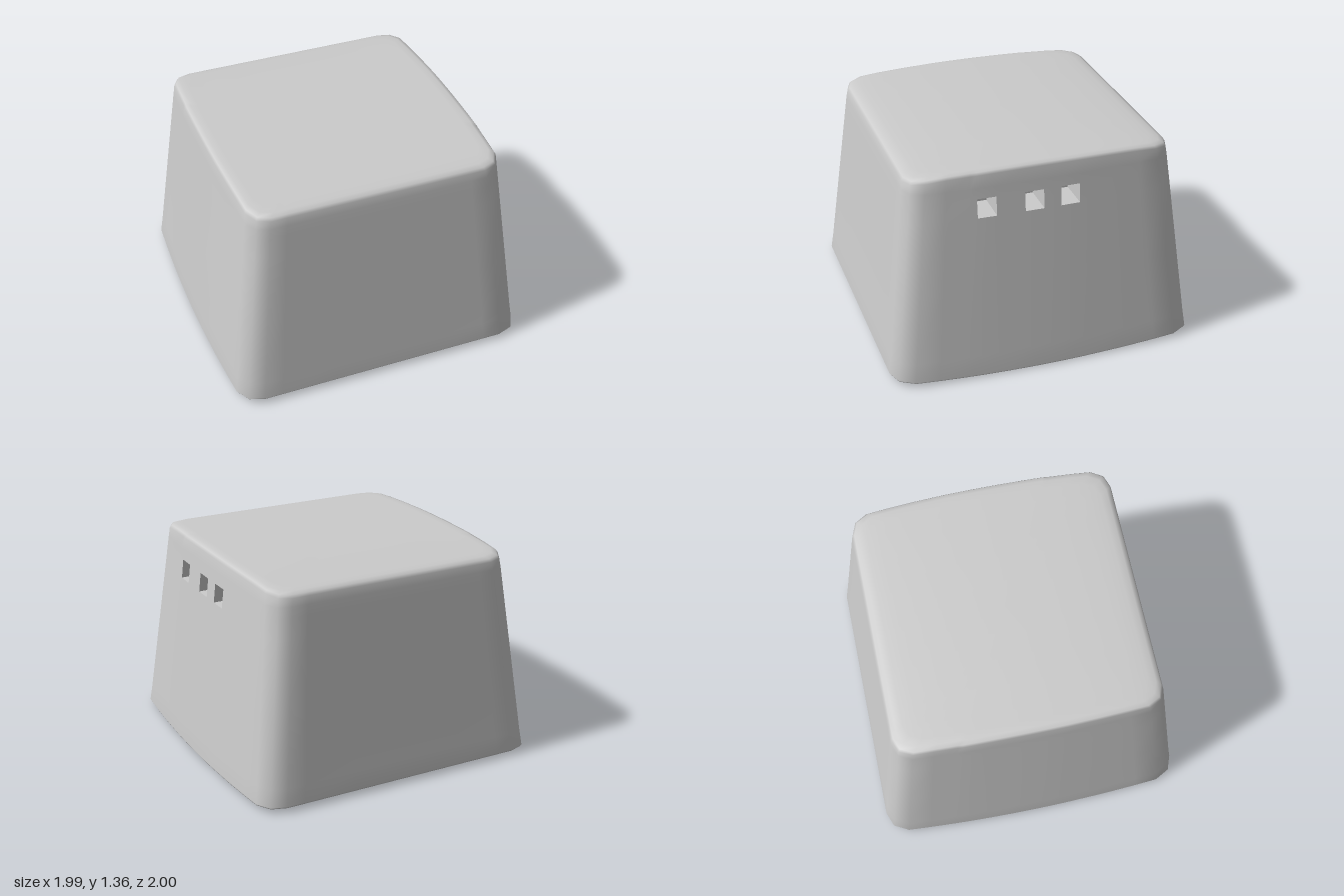
import * as THREE from 'three';

const TOP_SCALE = 0.845;
const HOLES = [[-0.22, -0.1], [0.01, 0.13], [0.31, 0.43]]; // z ranges on the left wall
const HOLE_LOW = 1.062, HOLE_HIGH = 1.184, HOLE_DEPTH = 0.2;

// gently bowed side wall at the base, and its taper with height
const bow = z => 0.995 - 0.03 * (z / 0.87) ** 2;
const taper = y => 1 - (1 - TOP_SCALE) * (y - 0.02) / 1.3;

// crowned top and base, both curving along z only
const topY = z => { const r = z / TOP_SCALE; return 1.36 - 0.02 * r ** 2 - 0.015 * r ** 10; };
const baseY = z => 0.025 * z ** 2;

// plan outline: half loop, then the same half turned by 180 degrees
const sideZ = [-0.87, -0.72, -0.5, ...HOLES.flat(), 0.55, 0.72, 0.87];
const half = [
  ...sideZ.map(z => [bow(z), z, Math.abs(z) < 0.45]), // true: z stays fixed up the wall
  [0.915, 0.965], [0.82, 1], [0.7, 1], [0.35, 1], [0, 1],
  [-0.35, 1], [-0.7, 1], [-0.82, 1], [-0.915, 0.965],
];
const outline = [...half, ...half.map(([x, z, fixed]) => [-x, -z, fixed])];

function ring(scale, inset, yAt) {
  return outline.map(([x, z, fixed]) => {
    const pz = (fixed ? z : z * scale) * inset;
    return [x * scale * inset, yAt(pz), pz];
  });
}

function bodyGeometry() {
  const wallLevels = [0.15, 0.6, HOLE_LOW, HOLE_HIGH, 1.25];
  const rings = [
    // base, from the centre outwards
    ...[0, 0.3, 0.6, 0.85, 0.95, 0.985].map(s => ring(1, s, baseY)),
    ring(1, 0.995, z => baseY(z) + 0.005),
    ring(1, 1, z => baseY(z) + 0.015),
    // tapered wall
    ...wallLevels.map(y => ring(taper(y), 1, () => y)),
    // rounded rim and top, back to the centre
    ring(TOP_SCALE, 1, z => topY(z) - 0.025),
    ring(TOP_SCALE, 0.987, z => topY(z) - 0.008),
    ...[0.955, 0.9, 0.8, 0.6, 0.4, 0.2, 0].map(s => ring(TOP_SCALE, s, topY)),
  ];
  const n = outline.length, index = [];
  const holeRow = 8 + wallLevels.indexOf(HOLE_LOW);
  const holeColumns = HOLES.map(h => sideZ.indexOf(h[0]));
  for (let j = 0; j < rings.length - 1; j++) {
    for (let i = 0; i < n; i++) {
      if (j === holeRow && holeColumns.includes(i)) continue; // opening
      const a = j * n + i, b = j * n + (i + 1) % n, c = a + n, d = b + n;
      index.push(b, a, c, b, c, d);
    }
  }
  const geometry = new THREE.BufferGeometry();
  geometry.setAttribute('position', new THREE.Float32BufferAttribute(rings.flat(2), 3));
  geometry.setIndex(index);
  geometry.computeVertexNormals();
  return geometry;
}

// inward-facing box without its outer face, its mouth fitted to the wall
function pocketGeometry([z0, z1]) {
  const geometry = new THREE.BoxGeometry(1, 1, 1);
  geometry.setIndex(Array.from(geometry.index.array).slice(6).reverse());
  const p = geometry.attributes.position;
  for (let i = 0; i < p.count; i++) {
    const y = p.getY(i) > 0 ? HOLE_HIGH : HOLE_LOW;
    const z = p.getZ(i) > 0 ? z1 : z0;
    const x = p.getX(i) > 0 ? bow(z) * taper(y) : 0.86 - HOLE_DEPTH;
    p.setXYZ(i, x, y, z);
  }
  geometry.computeVertexNormals();
  return geometry;
}

export function createModel() {
  const group = new THREE.Group();
  const material = new THREE.MeshStandardMaterial({ color: 0xcccccc });
  const add = (name, geometry) => {
    const mesh = new THREE.Mesh(geometry, material);
    mesh.name = name;
    group.add(mesh);
  };
  add('body', bodyGeometry());
  HOLES.forEach((h, i) => add(`sidePocket${i + 1}`, pocketGeometry(h)));
  return group;
}
